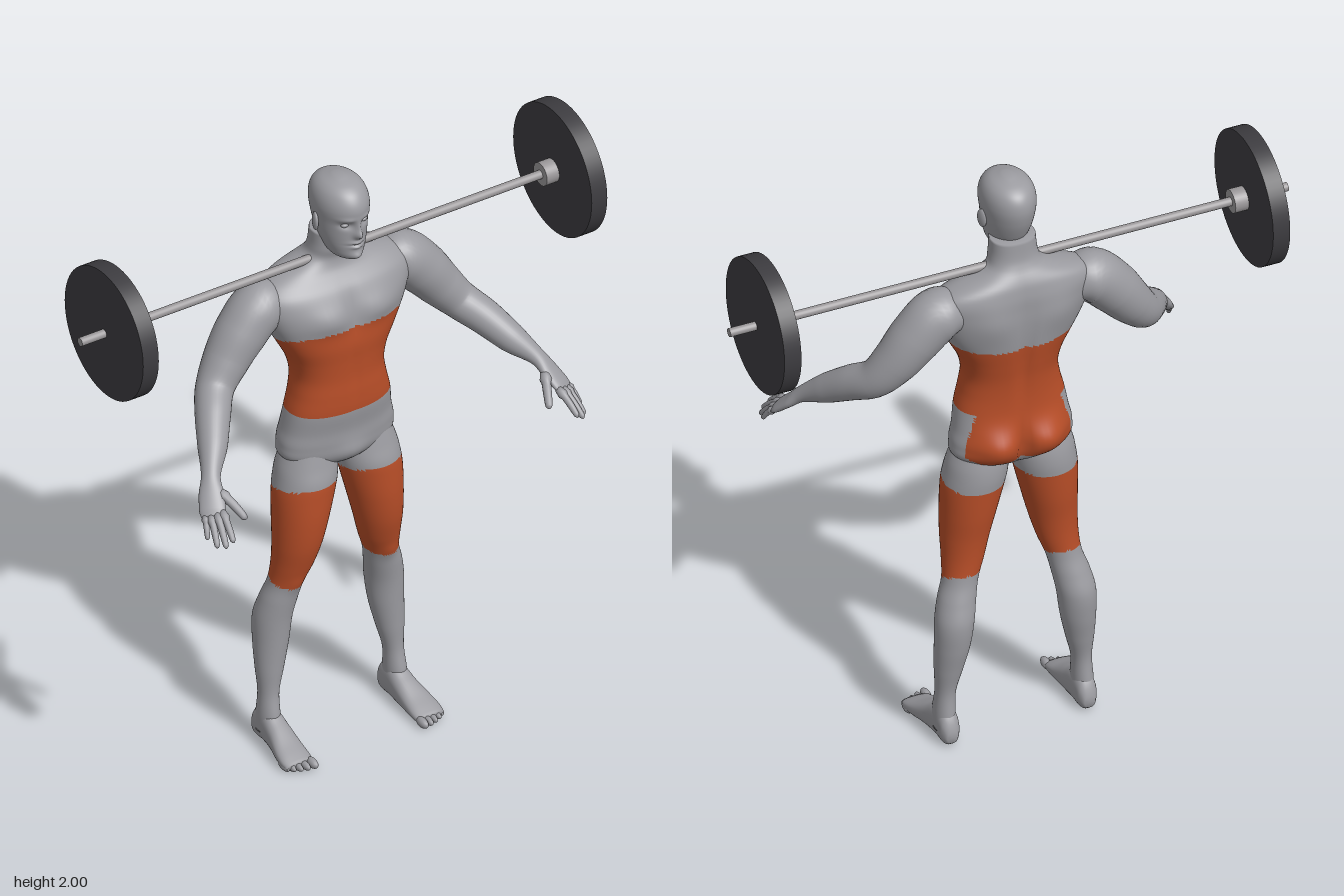
import * as THREE from 'three';

const material = (name, color) => {
  const m = new THREE.MeshStandardMaterial({ color });
  m.name = name;
  return m;
};

// Skin a list of rings (equal point counts, counter-clockwise about the travel direction).
// paint(point) returns 0 or 1 and chooses the material of each face.
function skin(rings, paint) {
  const n = rings[0].length, pts = rings.flat(), lists = [[], []];
  const mid = new THREE.Vector3();
  const tri = (a, b, c) => {
    mid.copy(pts[a]).add(pts[b]).add(pts[c]).divideScalar(3);
    lists[paint ? paint(mid) : 0].push(a, b, c);
  };
  const centre = (ring) => ring.reduce((s, p) => s.add(p), new THREE.Vector3()).divideScalar(n);
  const last = (rings.length - 1) * n, c0 = pts.length, c1 = c0 + 1;
  pts.push(centre(rings[0]), centre(rings[rings.length - 1]));
  for (let j = 0; j < n; j++) {
    const k = (j + 1) % n;
    for (let i = 0; i < last; i += n) {
      tri(i + j, i + k, i + n + j);
      tri(i + k, i + n + k, i + n + j);
    }
    tri(c0, k, j);
    tri(c1, last + j, last + k);
  }
  const g = new THREE.BufferGeometry().setFromPoints(pts);
  g.setIndex([...lists[0], ...lists[1]]);
  if (paint) {
    g.addGroup(0, lists[0].length, 0);
    g.addGroup(lists[0].length, lists[1].length, 1);
  }
  g.computeVertexNormals();
  return g;
}

// Smooth interpolation of a table whose first column is the position along the axis
function sample(table, t) {
  let k = 0;
  while (k < table.length - 2 && t > table[k + 1][0]) k++;
  const a = table[k], b = table[k + 1], h = b[0] - a[0], s = (t - a[0]) / h;
  const slope = (i, c) => {
    const p = table[Math.max(i - 1, 0)], q = table[Math.min(i + 1, table.length - 1)];
    return (q[c] - p[c]) / (q[0] - p[0]);
  };
  return a.map((v, c) => v * (1 + 2 * s) * (1 - s) ** 2 + b[c] * s * s * (3 - 2 * s)
    + h * (slope(k, c) * s * (1 - s) ** 2 - slope(k + 1, c) * s * s * (1 - s)));
}

// Loft of rounded sections given by extents: [t, u0, u1, v0, v1]
// axis 'y': u = z, v = x;  axis 'z': u = x, v = y
function extentLoft(table, axis, { steps = 60, n = 48, power = 2, shape, paint } = {}) {
  const rings = [], t0 = table[0][0], t1 = table[table.length - 1][0];
  const round = (v) => Math.sign(v) * Math.abs(v) ** (2 / power);
  for (let i = 0; i <= steps; i++) {
    const [t, u0, u1, v0, v1] = sample(table, t0 + (t1 - t0) * i / steps);
    rings.push(Array.from({ length: n }, (_, j) => {
      const a = j / n * Math.PI * 2;
      const u = (u0 + u1) / 2 + (u1 - u0) / 2 * round(Math.cos(a));
      const v = (v0 + v1) / 2 + (v1 - v0) / 2 * round(Math.sin(a));
      const p = axis === 'y' ? new THREE.Vector3(v, t, u) : new THREE.Vector3(u, v, t);
      if (shape) shape(p);
      return p;
    }));
  }
  return skin(rings, paint);
}

// Loft along a curve through [x, y, z, width radius, thickness radius]
function pathLoft(stations, ref, steps, n) {
  const path = new THREE.CatmullRomCurve3(stations.map((s) => new THREE.Vector3(s[0], s[1], s[2])));
  const radii = new THREE.CatmullRomCurve3(stations.map((s) => new THREE.Vector3(s[3], s[4] ?? s[3], 0)));
  const rings = [];
  for (let i = 0; i <= steps; i++) {
    const c = path.getPoint(i / steps), r = radii.getPoint(i / steps), w = path.getTangent(i / steps);
    const u = ref.clone().addScaledVector(w, -ref.dot(w)).normalize();
    const v = w.clone().cross(u);
    rings.push(Array.from({ length: n }, (_, j) => {
      const a = j / n * Math.PI * 2;
      return c.clone().addScaledVector(u, r.x * Math.cos(a)).addScaledVector(v, r.y * Math.sin(a));
    }));
  }
  return skin(rings);
}

// Soft muscles and hollows, mirrored in x: [x, y, z, spread x, spread y, push z]
const sculpt = (bumps) => (p) => {
  let dz = 0;
  for (const [x, y, z, sx, sy, d] of bumps) {
    dz += d * Math.exp(-(((Math.abs(p.x) - x) / sx) ** 2) - ((p.y - y) / sy) ** 2 - ((p.z - z) / 0.06) ** 2);
  }
  p.z += dz;
};

function mirrored(geometry) {
  const g = geometry.clone().scale(-1, 1, 1), a = g.index.array;
  for (let i = 0; i < a.length; i += 3) [a[i], a[i + 1]] = [a[i + 1], a[i]];
  return g;
}

const ellipsoid = (x, y, z, rx, ry, rz) =>
  new THREE.SphereGeometry(1, 16, 12).scale(rx, ry, rz).translate(x, y, z);

export function createModel() {
  const grey = material('body grey', 0x9b9ba0);
  const orange = material('muscle orange', 0xb84e28);
  const steel = material('bar steel', 0x9a9799);
  const iron = material('plate iron', 0x3d3c40);
  const model = new THREE.Group(), body = new THREE.Group(), barbell = new THREE.Group();
  body.name = 'body';
  barbell.name = 'barbell';
  model.add(body, barbell);
  const add = (parent, name, geometry, mat) => {
    const mesh = new THREE.Mesh(geometry, mat);
    mesh.name = name;
    parent.add(mesh);
  };
  const pair = (name, geometry, mat = grey) => {
    add(body, 'left' + name, geometry, mat);
    add(body, 'right' + name, mirrored(geometry), mat);
  };

  // Highlighted regions: trunk with buttocks, and thighs
  const paint = ({ x, y, z }) => {
    const trunk = y > 1.19 && y < 1.487 + 0.25 * z;
    const seat = y <= 1.19 && z < -0.145 && y > 1.015 + 5 * Math.max(0, Math.abs(x) - 0.1) ** 2;
    const thigh = y > 0.552 - 0.33 * z && y < 0.935 + 0.15 * z;
    return trunk || seat || thigh ? 1 : 0;
  };

  // Torso and neck: height, back, front, half widths
  const torso = [
    [0.965, -0.11, -0.06, 0.02], [0.985, -0.15, -0.02, 0.09], [1.02, -0.178, 0.005, 0.185],
    [1.07, -0.186, 0.014, 0.197], [1.12, -0.185, 0.018, 0.187], [1.19, -0.18, 0.03, 0.175],
    [1.25, -0.18, 0.032, 0.16], [1.31, -0.185, 0.03, 0.152], [1.37, -0.195, 0.032, 0.165],
    [1.43, -0.205, 0.036, 0.195], [1.48, -0.21, 0.034, 0.222], [1.53, -0.212, 0.03, 0.245],
    [1.58, -0.212, 0.018, 0.262], [1.62, -0.212, 0, 0.262], [1.65, -0.208, -0.025, 0.235],
    [1.67, -0.203, -0.04, 0.19], [1.69, -0.193, -0.048, 0.13], [1.71, -0.18, -0.05, 0.09],
    [1.74, -0.167, -0.042, 0.077], [1.8, -0.16, -0.04, 0.071],
  ].map(([y, b, f, w]) => [y, b, f, -w, w]);
  add(body, 'torso', extentLoft(torso, 'y', {
    steps: 100, n: 72, power: 2.3, paint,
    shape: sculpt([
      [0.085, 1.07, -0.19, 0.07, 0.06, -0.036], [0, 1.06, -0.2, 0.016, 0.07, 0.025],
      [0, 1.4, -0.2, 0.022, 0.2, 0.014], [0.11, 1.55, -0.21, 0.07, 0.07, -0.012],
      [0.09, 1.54, 0.03, 0.07, 0.045, 0.016], [0, 1.54, 0.03, 0.016, 0.07, -0.01],
      [0, 1.32, 0.03, 0.012, 0.12, -0.005], [0, 1.03, 0, 0.05, 0.04, 0.012],
    ]),
  }), [grey, orange]);

  // Head with sculpted face
  const head = [
    [1.735, -0.07, 0.015, 0.025], [1.75, -0.1, 0.032, 0.048], [1.78, -0.125, 0.04, 0.062],
    [1.82, -0.148, 0.041, 0.073], [1.87, -0.168, 0.043, 0.08], [1.92, -0.176, 0.05, 0.084],
    [1.96, -0.165, 0.034, 0.075], [1.985, -0.135, 0.003, 0.053], [2, -0.085, -0.045, 0.015],
  ].map(([y, b, f, w]) => [y, b, f, -w, w]);
  add(body, 'head', extentLoft(head, 'y', {
    steps: 80, n: 96,
    shape: sculpt([
      [0, 1.838, 0.045, 0.013, 0.015, 0.02], [0, 1.862, 0.045, 0.01, 0.025, 0.012],
      [0.033, 1.872, 0.035, 0.018, 0.012, -0.012], [0.035, 1.895, 0.04, 0.025, 0.009, 0.005],
      [0, 1.808, 0.04, 0.022, 0.007, 0.008], [0, 1.792, 0.04, 0.018, 0.006, 0.007],
      [0, 1.8, 0.04, 0.026, 0.003, -0.006], [0, 1.757, 0.03, 0.022, 0.014, 0.012],
    ]),
  }), grey);
  pair('Ear', ellipsoid(0, 0, 0, 0.009, 0.032, 0.02).rotateY(0.3).translate(0.084, 1.858, -0.065));
  pair('Eye', ellipsoid(0.033, 1.872, 0.02, 0.014, 0.008, 0.011));

  // Legs: height, back, front, inner, outer
  pair('Leg', extentLoft([
    [0.04, -0.16, -0.06, 0.196, 0.262], [0.095, -0.152, -0.058, 0.195, 0.262],
    [0.175, -0.145, -0.072, 0.193, 0.257], [0.26, -0.16, -0.07, 0.172, 0.262],
    [0.35, -0.178, -0.066, 0.152, 0.264], [0.44, -0.185, -0.06, 0.14, 0.262],
    [0.51, -0.168, -0.05, 0.128, 0.247], [0.57, -0.152, -0.04, 0.115, 0.228],
    [0.64, -0.148, -0.015, 0.09, 0.222], [0.72, -0.152, 0.008, 0.068, 0.222],
    [0.81, -0.164, 0.02, 0.045, 0.222], [0.9, -0.172, 0.022, 0.022, 0.22],
    [0.95, -0.175, 0.02, 0.012, 0.213], [1, -0.17, 0.008, 0.01, 0.202], [1.08, -0.15, -0.01, 0.03, 0.17],
  ], 'y', { steps: 110, paint, shape: sculpt([[0.17, 0.575, -0.03, 0.03, 0.03, 0.006]]) }), [grey, orange]);

  // Feet: depth, inner, outer, sole, top
  pair('Foot', extentLoft([
    [-0.17, 0.21, 0.245, 0.015, 0.055], [-0.15, 0.197, 0.258, 0, 0.1], [-0.1, 0.192, 0.262, 0, 0.12],
    [-0.04, 0.188, 0.27, 0, 0.092], [0.02, 0.186, 0.284, 0, 0.06], [0.06, 0.186, 0.288, 0, 0.042],
    [0.085, 0.19, 0.284, 0.004, 0.03],
  ], 'z', { steps: 30, n: 32, power: 2.4, shape: (p) => { p.y = Math.max(0, p.y); } }));
  [[0.199, 0.122, 0.014], [0.222, 0.117, 0.011], [0.243, 0.11, 0.01], [0.262, 0.1, 0.01], [0.278, 0.088, 0.01]]
    .forEach(([x, tip, r], i) => pair('Toe' + (i + 1), ellipsoid(x, r + 0.002, tip - 0.028, r, r + 0.002, 0.028)));

  // Arms running into flattened palms
  const spread = new THREE.Vector3(-0.75, 0.2, 0.35).normalize();
  pair('Arm', pathLoft([
    [0.19, 1.585, -0.115, 0.065], [0.255, 1.58, -0.115, 0.085], [0.325, 1.515, -0.11, 0.082],
    [0.385, 1.44, -0.1, 0.072], [0.44, 1.375, -0.075, 0.06], [0.49, 1.33, -0.01, 0.055],
    [0.54, 1.275, 0.065, 0.046], [0.592, 1.222, 0.135, 0.03, 0.024], [0.61, 1.19, 0.165, 0.038, 0.019],
    [0.628, 1.155, 0.2, 0.041, 0.016], [0.636, 1.14, 0.216, 0.036, 0.011],
  ], spread, 70, 32));

  // Fingers and thumb: root, tip, radius
  [
    ['IndexFinger', [0.607, 1.152, 0.22], [0.622, 1.092, 0.308], 0.0115],
    ['MiddleFinger', [0.623, 1.148, 0.215], [0.645, 1.077, 0.304], 0.0115],
    ['RingFinger', [0.64, 1.143, 0.208], [0.663, 1.073, 0.282], 0.011],
    ['LittleFinger', [0.654, 1.14, 0.199], [0.674, 1.085, 0.243], 0.0095],
    ['Thumb', [0.59, 1.192, 0.172], [0.547, 1.125, 0.263], 0.0145],
  ].forEach(([name, a, b, r]) => {
    const at = (f, lift, k) => [...a.map((v, i) => v + (b[i] - v) * f + (i === 1 ? lift : 0)), r * k];
    pair(name, pathLoft([at(0, 0, 1), at(0.35, 0.006, 1), at(0.7, 0.005, 0.9), at(0.93, 0.001, 0.75), at(1, 0, 0.25)],
      spread, 12, 12));
  });
  body.position.x = -0.012;

  // Barbell lying across the shoulders
  const rod = (r, x0, x1, n = 32) =>
    new THREE.CylinderGeometry(r, r, x1 - x0, n).rotateZ(Math.PI / 2).translate((x0 + x1) / 2, 0, 0);
  add(barbell, 'bar', rod(0.014, -0.925, 0.925, 20), steel);
  for (const [side, s] of [['left', 1], ['right', -1]]) {
    const span = (a, b) => (s > 0 ? [a, b] : [-b, -a]);
    add(barbell, side + 'Collar', rod(0.038, ...span(0.738, 0.784)), steel);
    add(barbell, side + 'Plate', rod(0.217, ...span(0.782, 0.838), 64), iron);
  }
  barbell.position.set(0, 1.702, -0.097);
  return model;
}
